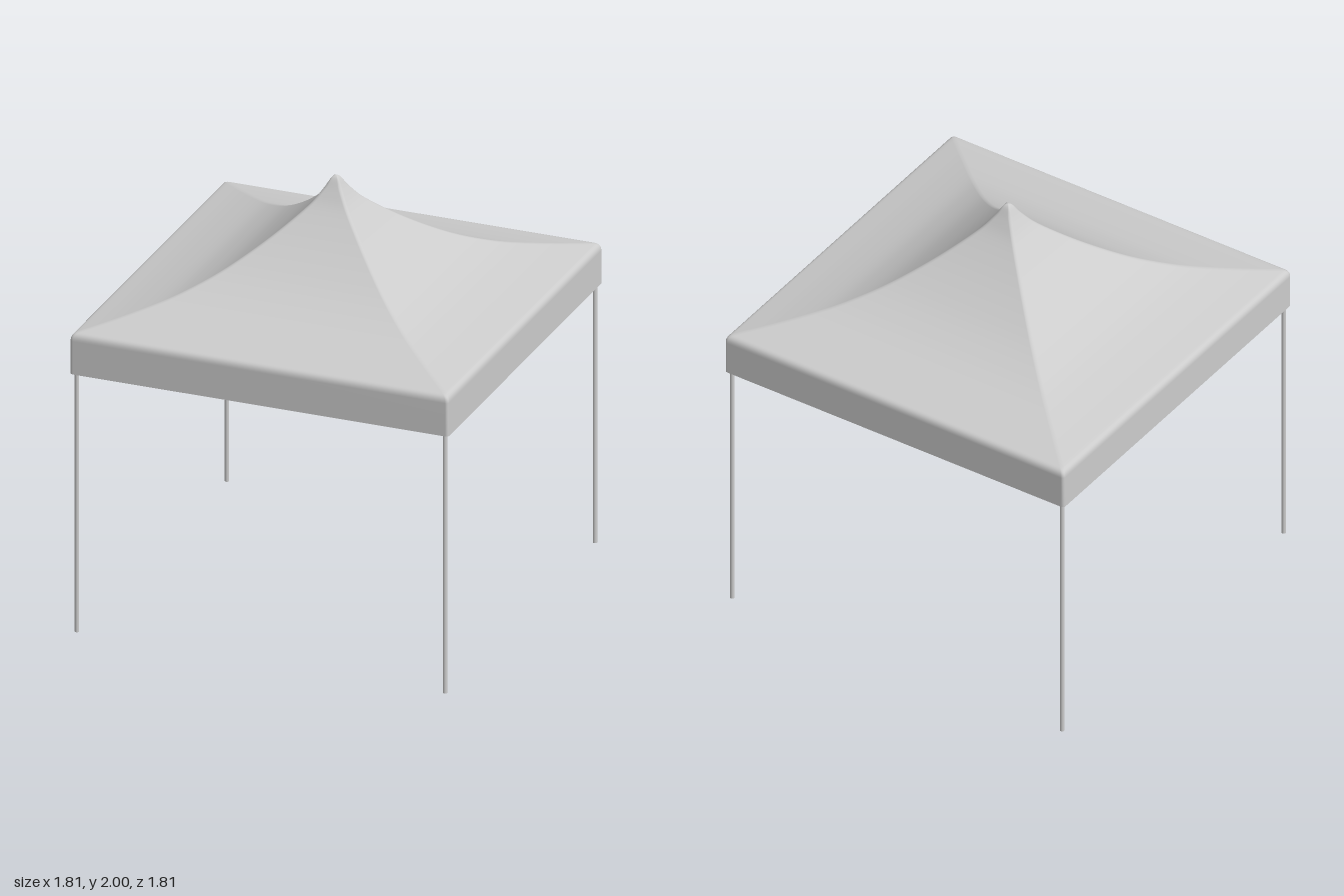
import * as THREE from 'three';

const HALF = 0.905, HEM_Y = 1.255, THICK = 0.015, LEG = 0.88;
const V = (x, y) => new THREE.Vector2(x, y);

// Square of half-width s with slightly rounded corners, as [x, z] pairs
function roundedSquare(s) {
  const r = Math.min(0.015, s * 0.4), steps = 4, ring = [];
  for (let c = 0; c < 4; c++) {
    const mid = Math.PI / 4 + c * Math.PI / 2;
    const cx = Math.sign(Math.cos(mid)) * (s - r), cz = Math.sign(Math.sin(mid)) * (s - r);
    for (let k = 0; k <= steps; k++) {
      const a = (c + k / steps) * Math.PI / 2;
      ring.push([cx + r * Math.cos(a), cz + r * Math.sin(a)]);
    }
  }
  return ring;
}

// Sweeps a (half-width, height) profile around the square section
function squareLathe(profile) {
  const pos = [], index = [], n = roundedSquare(1).length;
  profile.forEach((p, i) => {
    for (const [x, z] of roundedSquare(p.x)) pos.push(x, p.y, z);
    if (i === profile.length - 1) return;
    for (let j = 0; j < n; j++) {
      const a = i * n + j, b = i * n + (j + 1) % n;
      index.push(a, b, a + n, b, b + n, a + n);
    }
  });
  const g = new THREE.BufferGeometry();
  g.setAttribute('position', new THREE.Float32BufferAttribute(pos, 3));
  g.setIndex(index);
  g.computeVertexNormals();
  return g;
}

// Moves a profile inward by the cloth thickness and closes it at the peak
function insetProfile(profile) {
  const inner = profile.map((p, i) => {
    const d = profile[Math.min(i + 1, profile.length - 1)].clone()
      .sub(profile[Math.max(i - 1, 0)]).normalize();
    return V(p.x + d.y * THICK, p.y - d.x * THICK);
  }).filter((p) => p.x > 0.003);
  inner.unshift(V(0, inner[0].y + 0.004));
  return inner;
}

export function createModel() {
  const model = new THREE.Group();
  const material = new THREE.MeshStandardMaterial({ color: 0xcccccc });
  const add = (name, geometry, parent) => {
    const mesh = new THREE.Mesh(geometry, material);
    mesh.name = name;
    parent.add(mesh);
    return mesh;
  };

  // Canopy: swept peak, rounded eave, straight valance
  const slope = new THREE.SplineCurve([
    V(0, 2), V(0.018, 1.988), V(0.05, 1.935), V(0.1, 1.868), V(0.2, 1.772), V(0.3, 1.69),
    V(0.4, 1.62), V(0.5, 1.566), V(0.6, 1.525), V(0.75, 1.482), V(0.88, 1.452),
  ]).getPoints(50);
  const eave = new THREE.QuadraticBezierCurve(V(0.88, 1.452), V(HALF, 1.446), V(HALF, 1.415)).getPoints(6);
  const outer = [...slope, ...eave.slice(1), V(HALF, HEM_Y)];
  const inner = insetProfile(outer);

  const canopy = new THREE.Group();
  canopy.name = 'canopy';
  model.add(canopy);
  add('canopyOuter', squareLathe(outer), canopy);
  add('canopyLining', squareLathe([...inner].reverse()), canopy);
  add('valanceHem', squareLathe([V(HALF, HEM_Y), V(HALF - THICK, HEM_Y)]), canopy);

  // Four slim legs, one in each corner of the valance
  const legHeight = 1.4;
  const legGeometry = new THREE.CylinderGeometry(0.01, 0.01, legHeight, 16);
  for (const [side, x] of [['Left', 1], ['Right', -1]]) {
    for (const [end, z] of [['front', 1], ['back', -1]]) {
      add(end + side + 'Leg', legGeometry, model).position.set(x * LEG, legHeight / 2, z * LEG);
    }
  }
  return model;
}
